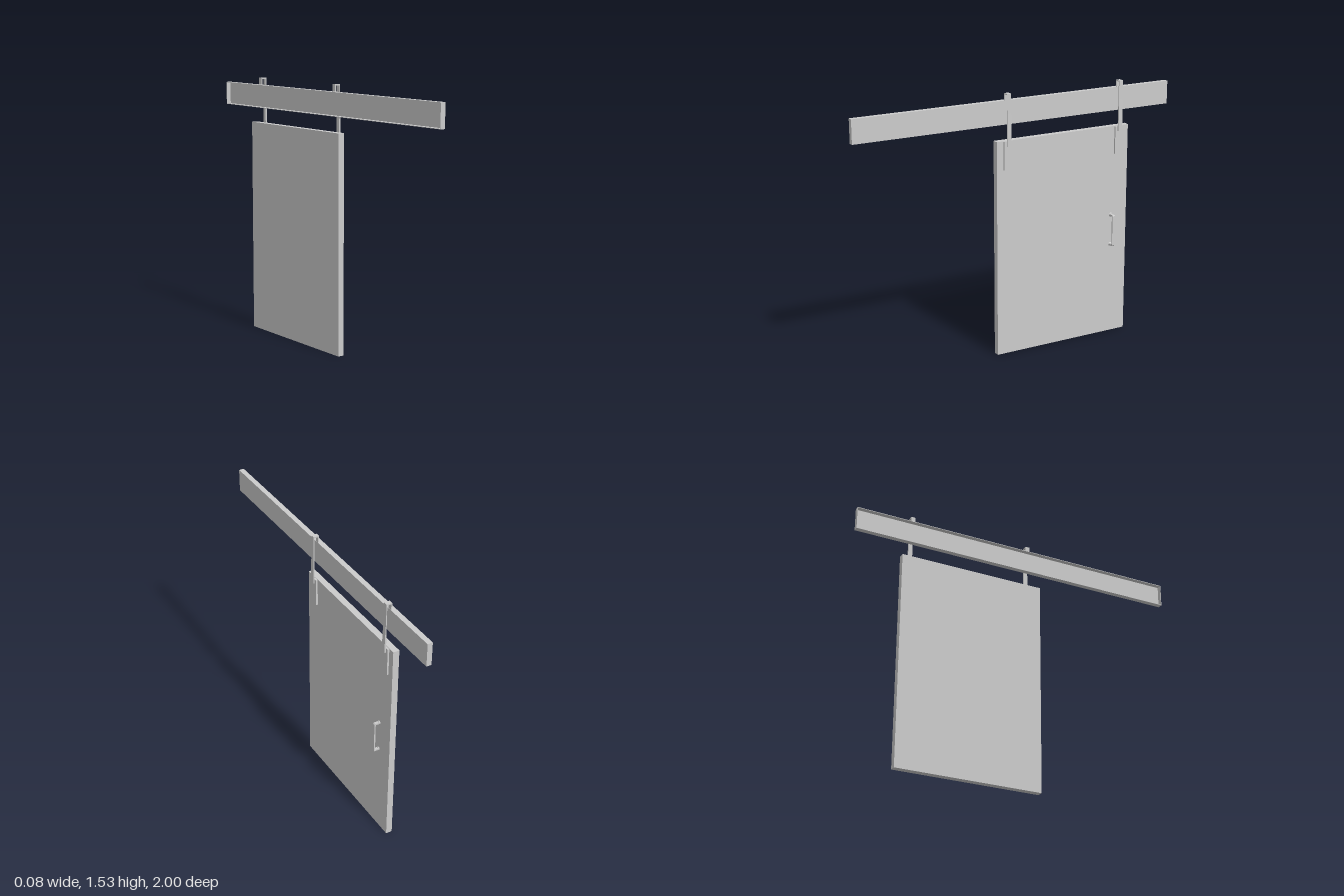
import * as THREE from 'three';

const material = new THREE.MeshStandardMaterial({ color: 0xcccccc, flatShading: true });

// Box given by its min and max along each axis
function box(name, [x0, x1], [y0, y1], [z0, z1]) {
  const mesh = new THREE.Mesh(new THREE.BoxGeometry(x1 - x0, y1 - y0, z1 - z0), material);
  mesh.position.set((x0 + x1) / 2, (y0 + y1) / 2, (z0 + z1) / 2);
  mesh.name = name;
  return mesh;
}

// Side profile in x and y, extruded evenly about z = 0
function profile(name, points, width) {
  const shape = new THREE.Shape(points.map(([x, y]) => new THREE.Vector2(x, y)));
  const geometry = new THREE.ExtrudeGeometry(shape, { depth: width, bevelEnabled: false });
  geometry.translate(0, 0, -width / 2);
  const mesh = new THREE.Mesh(geometry, material);
  mesh.name = name;
  return mesh;
}

// Shallow tray standing on edge, open towards -x
function createRail() {
  const rail = new THREE.Group();
  rail.name = 'rail';
  const t = 0.003, x = [-0.04, -0.01], y = [1.355, 1.49];
  rail.add(
    box('railFace', [x[1] - t, x[1]], y, [-1, 1]),
    box('railTop', x, [y[1] - t, y[1]], [-1, 1]),
    box('railBottom', x, [y[0], y[0] + t], [-1, 1]),
    box('railEndFront', x, y, [1 - t, 1]),
    box('railEndBack', x, y, [-1, -1 + t])
  );
  return rail;
}

// Hooked strap over the rail, with its plate on the door
function createHanger(z) {
  const hanger = new THREE.Group();
  hanger.name = 'hanger';
  hanger.add(
    profile('hook', [
      [-0.018, 1.488], [-0.018, 1.531], [0.016, 1.531], [0.016, 1.42], [0.019, 1.30],
      [0.019, 1.235], [0.010, 1.235], [0.010, 1.30], [0.011, 1.42], [0.011, 1.524],
      [-0.012, 1.524], [-0.012, 1.488]
    ], 0.025),
    box('plate', [-0.001, 0.010], [1.10, 1.262], [-0.028, 0.028])
  );
  hanger.position.z = z;
  return hanger;
}

// Pull handle with chamfered corners and small feet
function createHandle() {
  const handle = new THREE.Group();
  handle.name = 'handle';
  handle.add(profile('grip', [
    [0, 0.545], [0.030, 0.545], [0.035, 0.551], [0.035, 0.730], [0.030, 0.736], [0, 0.736],
    [0, 0.727], [0.026, 0.727], [0.027, 0.725], [0.027, 0.556], [0.026, 0.554], [0, 0.554]
  ], 0.016));
  for (const y of [0.5495, 0.7315]) {
    const foot = new THREE.Mesh(new THREE.CylinderGeometry(0.008, 0.012, 0.006, 12), material);
    foot.name = 'handleFoot';
    foot.rotation.z = -Math.PI / 2;
    foot.position.set(0.003, y, 0);
    handle.add(foot);
  }
  handle.position.z = -0.612;
  return handle;
}

export function createModel() {
  const model = new THREE.Group();
  model.name = 'slidingDoor';
  model.add(
    box('doorPanel', [-0.037, 0], [0, 1.265], [-0.72, 0.15]),
    createRail(),
    createHanger(0.08),
    createHanger(-0.655),
    createHandle()
  );
  return model;
}
